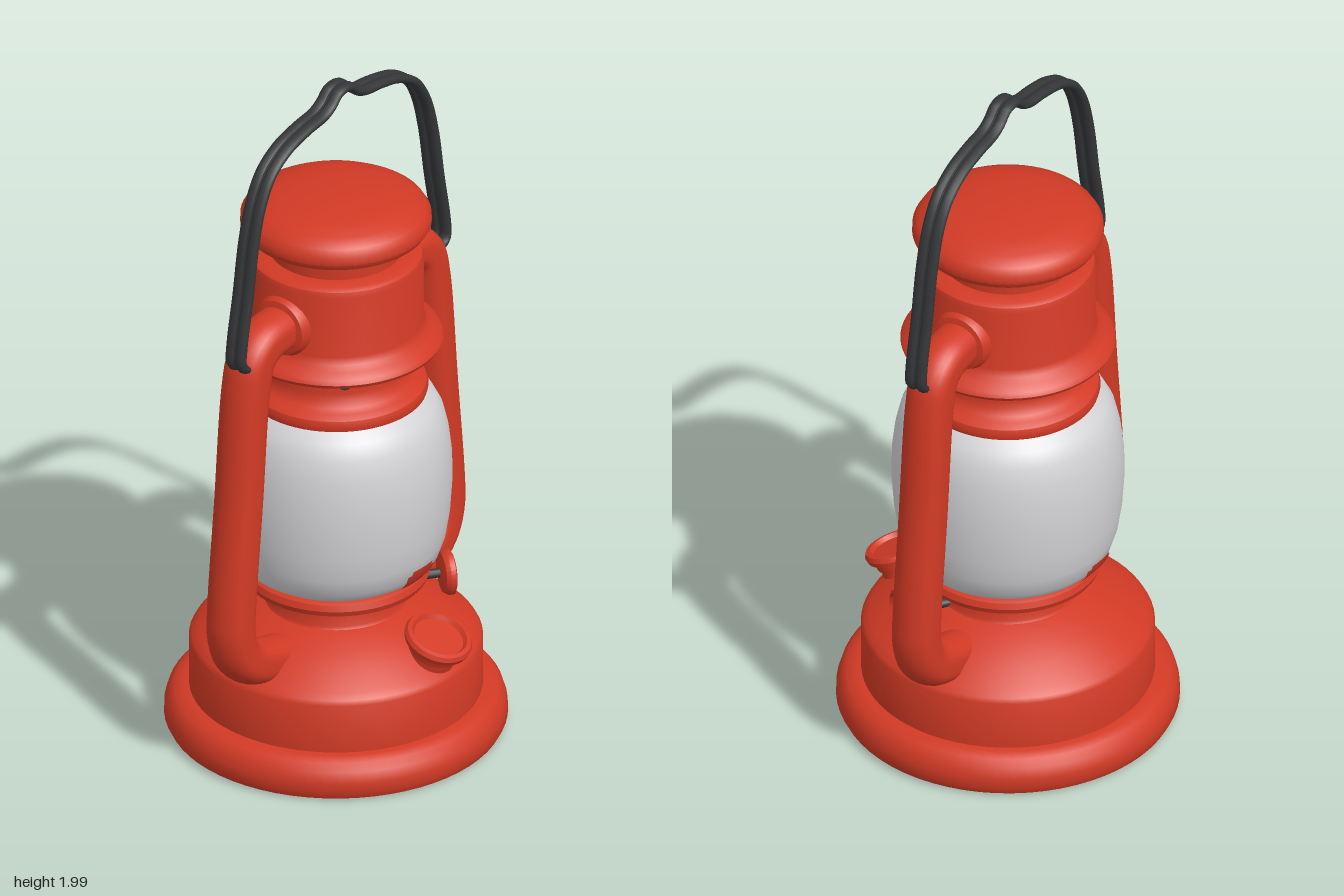
import * as THREE from 'three';
import { toCreasedNormals } from 'three/addons/utils/BufferGeometryUtils.js';

const red = new THREE.MeshStandardMaterial({ name: 'redEnamel', color: 0xd23a25 });
const black = new THREE.MeshStandardMaterial({ name: 'blackWire', color: 0x343638 });
const glass = new THREE.MeshStandardMaterial({ name: 'frostedGlass', color: 0xd3d3d6, side: THREE.DoubleSide });
const redSheet = red; // tabs share the enamel colour

function mesh(name, geometry, material, parent) {
  const m = new THREE.Mesh(geometry, material);
  m.name = name;
  parent.add(m);
  return m;
}

// Turned part from [radius, height] pairs, bottom to top
function turned(profile, segments = 64, crease = 0.6, start = 0, length = Math.PI * 2) {
  const pts = profile.map(([r, y]) => new THREE.Vector2(r, y));
  return toCreasedNormals(new THREE.LatheGeometry(pts, segments, start, length), crease);
}

function path(points) {
  return new THREE.CatmullRomCurve3(points.map(([x, y]) => new THREE.Vector3(x, y, 0)), false, 'centripetal');
}

// Tube in the xy plane, stretched in z, with a groove pressed into both z sides
function pressedTube(curve, radius, stretch, groove, steps) {
  const sides = 28;
  const g = new THREE.TubeGeometry(curve, steps, radius, sides);
  const pos = g.attributes.position;
  const v = new THREE.Vector3();
  for (let i = 0; i <= steps; i++) {
    const c = curve.getPointAt(i / steps);
    for (let j = 0; j <= sides; j++) {
      const k = i * (sides + 1) + j;
      v.fromBufferAttribute(pos, k).sub(c);
      v.multiplyScalar(1 - groove * Math.pow(v.z / radius, 10));
      v.z *= stretch;
      v.add(c);
      pos.setXYZ(k, v.x, v.y, v.z);
    }
  }
  return toCreasedNormals(g, 0.7);
}

// Points a part's y axis along a direction
function aim(object, x, y, z) {
  object.quaternion.setFromUnitVectors(new THREE.Vector3(0, 1, 0), new THREE.Vector3(x, y, z).normalize());
}

export function createModel() {
  const lantern = new THREE.Group();
  lantern.name = 'lantern';

  // Fuel tank with rolled foot, domed shoulder and burner collar
  mesh('fuelTank', turned([
    [0, 0.01], [0.44, 0.01], [0.458, 0.015], [0.468, 0.035], [0.467, 0.065], [0.458, 0.095],
    [0.44, 0.115], [0.415, 0.124], [0.4, 0.126], [0.4, 0.27], [0.393, 0.283], [0.375, 0.297],
    [0.32, 0.335], [0.27, 0.362], [0.22, 0.384], [0.195, 0.392], [0.19, 0.4], [0.19, 0.455], [0.2, 0.462],
  ]), red, lantern);
  mesh('glassSeat', turned([
    [0.15, 0.46], [0.235, 0.46], [0.251, 0.467], [0.257, 0.483], [0.251, 0.5], [0.235, 0.508], [0.1, 0.508],
  ]), red, lantern);

  // Frosted globe
  const globe = [
    [0.235, 0.505], [0.262, 0.523], [0.284, 0.55], [0.3, 0.6], [0.311, 0.67], [0.317, 0.76],
    [0.316, 0.84], [0.308, 0.91], [0.294, 0.97], [0.272, 1.012], [0.235, 1.042],
  ];
  mesh('globe', turned(globe, 64, 1.2), glass, lantern);

  // Tabs that hold the globe, front and back
  for (const angle of [0, Math.PI]) {
    const rows = [[0.238, 0.5], [0.268, 0.523], [0.29, 0.55], [0.298, 0.572]];
    mesh('globeTab', turned(rows, 6, 1.2, angle - 0.19, 0.38), redSheet, lantern);
    mesh('globeTabTip', turned([[0.298, 0.572], [0.302, 0.585]], 6, 1.2, angle - 0.14, 0.28), redSheet, lantern);
  }

  // Burner crown above the globe
  mesh('burnerCrown', turned([
    [0.1, 1.036], [0.235, 1.036], [0.248, 1.042], [0.252, 1.057], [0.247, 1.073], [0.23, 1.085],
    [0.212, 1.093], [0.2, 1.11], [0.196, 1.13], [0.196, 1.21],
  ]), red, lantern);
  for (let i = 0; i < 8; i++) {
    const a = i * Math.PI / 4;
    const hole = mesh('ventHole', new THREE.CylinderGeometry(0.021, 0.021, 0.006, 16), black, lantern);
    hole.position.set(Math.sin(a) * 0.196, 1.165, Math.cos(a) * 0.196);
    aim(hole, Math.sin(a), 0, Math.cos(a));
  }

  // Hood with drip flange, and the narrower neck over it
  mesh('hood', turned([
    [0.15, 1.2], [0.27, 1.196], [0.287, 1.2], [0.293, 1.211], [0.286, 1.223], [0.265, 1.235], [0.248, 1.25],
    [0.24, 1.27], [0.24, 1.455], [0.235, 1.47], [0.223, 1.478], [0.182, 1.48],
    [0.182, 1.53], [0.172, 1.54], [0.172, 1.57],
  ]), red, lantern);

  // Cap
  mesh('cap', turned([
    [0, 1.555], [0.18, 1.55], [0.225, 1.544], [0.25, 1.55], [0.261, 1.568], [0.26, 1.59], [0.247, 1.611],
    [0.215, 1.63], [0.16, 1.645], [0.08, 1.654], [0, 1.656],
  ]), red, lantern);

  // Side tubes with their collars on the hood
  const sideCurve = path([
    [0.2, 1.342], [0.28, 1.342], [0.335, 1.333], [0.378, 1.298], [0.4, 1.22], [0.433, 0.88], [0.465, 0.55],
    [0.466, 0.48], [0.445, 0.41], [0.4, 0.365], [0.34, 0.34], [0.25, 0.315],
  ]);
  for (const turn of [0, Math.PI]) {
    const side = new THREE.Group();
    side.name = turn ? 'rightFrame' : 'leftFrame';
    side.rotation.y = turn;
    lantern.add(side);
    mesh('sideTube', pressedTube(sideCurve, 0.062, 1.14, 0.13, 90), red, side);
    const collar = mesh('tubeCollar', turned([
      [0.088, 0], [0.088, 0.035], [0.08, 0.05], [0.062, 0.054],
    ], 32), red, side);
    collar.position.set(0.205, 1.342, 0);
    aim(collar, 1, 0, 0);
  }

  // Filler spout and dished screw cap on the front shoulder
  const filler = new THREE.Group();
  filler.name = 'filler';
  filler.position.set(0, 0.38, 0.352);
  aim(filler, 0, 0.93, 0.37);
  lantern.add(filler);
  mesh('fillerNeck', turned([[0.066, -0.13], [0.066, -0.03]], 32), red, filler);
  mesh('fillerCap', turned([
    [0.06, -0.045], [0.074, -0.042], [0.078, -0.018], [0.092, -0.014], [0.096, 0], [0.09, 0.012],
    [0.078, 0.014], [0.07, 0.002], [0, 0.002],
  ], 40), red, filler);

  // Wick adjuster: black shaft and dished thumb wheel
  const adjuster = new THREE.Group();
  adjuster.name = 'wickAdjuster';
  adjuster.position.set(0.275, 0.398, 0.165);
  aim(adjuster, 0.8, 0, 0.6);
  lantern.add(adjuster);
  const shaft = mesh('adjusterShaft', new THREE.CylinderGeometry(0.013, 0.013, 0.17, 12), black, adjuster);
  shaft.position.y = -0.085;
  mesh('thumbWheel', turned([
    [0, -0.018], [0.035, -0.018], [0.056, -0.012], [0.064, 0], [0.064, 0.014], [0.056, 0.018], [0.048, 0.008], [0, 0.004],
  ], 32), red, adjuster);

  // Wire bail: two strands side by side, hooked into the frame
  const half = [
    [0.405, 1.305], [0.435, 1.302], [0.454, 1.322], [0.452, 1.375], [0.425, 1.52], [0.398, 1.68], [0.365, 1.79],
    [0.32, 1.86], [0.25, 1.905], [0.16, 1.928], [0.09, 1.938], [0.055, 1.955], [0.028, 1.98],
  ];
  const bail = path([...half, [0, 1.986], ...half.map(([x, y]) => [-x, y]).reverse()]);
  for (const z of [-0.007, 0.025]) {
    const strand = mesh('bailStrand', new THREE.TubeGeometry(bail, 140, 0.0135, 10), black, lantern);
    strand.scale.z = 1.3;
    strand.position.z = z;
  }
  // Web joining the strands
  const web = mesh('bailWeb', new THREE.TubeGeometry(bail, 140, 0.009, 8), black, lantern);
  web.scale.z = 2;
  web.position.z = 0.009;

  return lantern;
}
